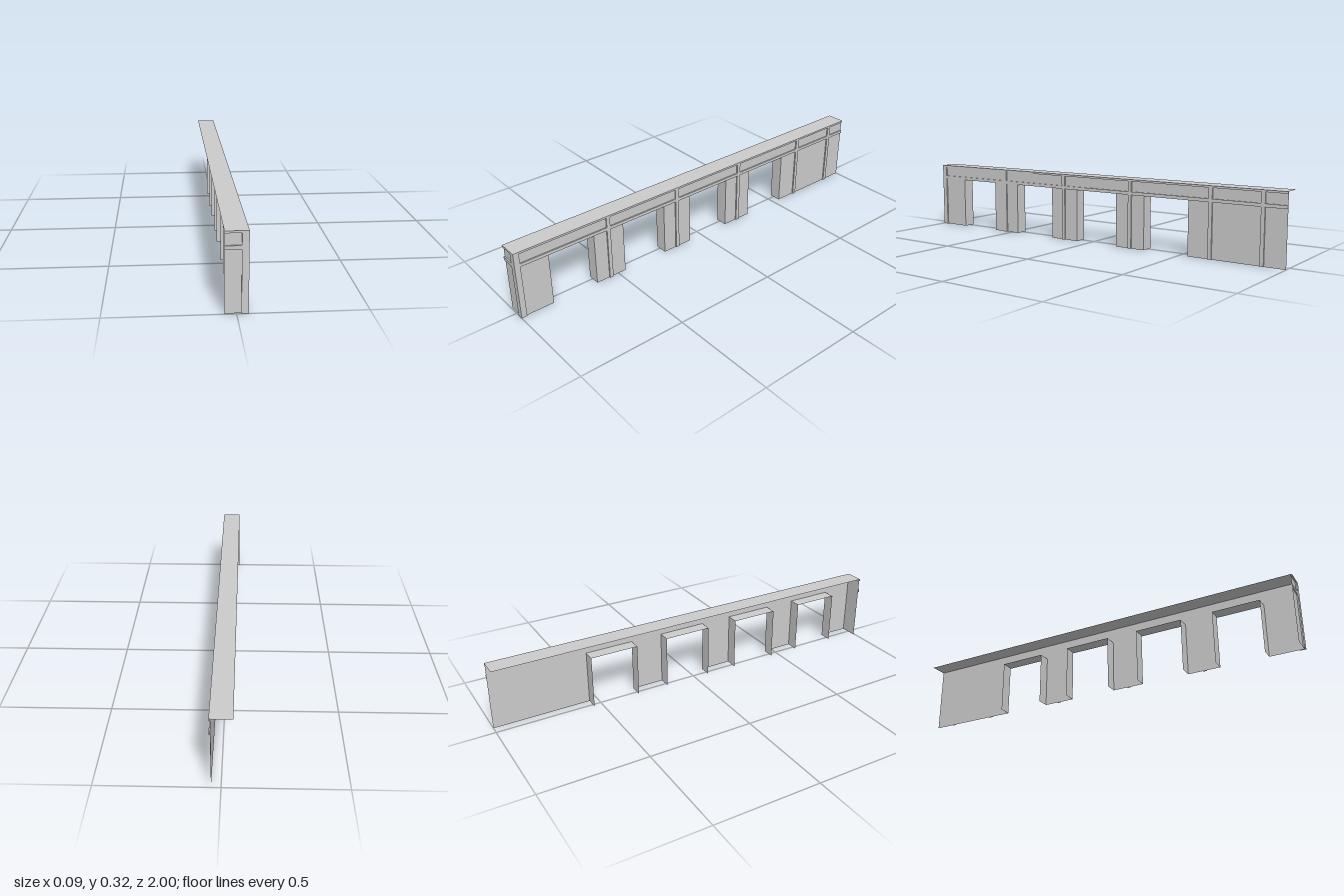
import * as THREE from 'three';

const H = 0.325, XO = 0.045, XB = -0.046; // height, outer face, open back edge
const T = 0.006;                          // trim thickness
const XW = XO - T, ZW = 1 - T;            // wall sheet positions
const OPEN_TOP = 0.253, JAMB_BACK = -0.02;
const openings = [[-0.54, -0.31], [-0.155, 0.075], [0.23, 0.46], [0.615, 0.84]];

export function createModel() {
  const group = new THREE.Group();
  const mat = new THREE.MeshStandardMaterial({ color: 0xcccccc, side: THREE.DoubleSide, flatShading: true });
  const add = (name, geo) => {
    const mesh = new THREE.Mesh(geo, mat);
    mesh.name = name;
    group.add(mesh);
    return mesh;
  };
  // box given by its limits
  const box = (name, x0, x1, y0, y1, z0, z1) =>
    add(name, new THREE.BoxGeometry(x1 - x0, y1 - y0, z1 - z0))
      .position.set((x0 + x1) / 2, (y0 + y1) / 2, (z0 + z1) / 2);

  // long wall sheet, notched by the openings
  const s = new THREE.Shape();
  s.moveTo(-1, H);
  s.lineTo(-1, 0);
  for (const [a, b] of openings) {
    s.lineTo(a, 0);
    s.lineTo(a, OPEN_TOP);
    s.lineTo(b, OPEN_TOP);
    s.lineTo(b, 0);
  }
  s.lineTo(ZW, 0);
  s.lineTo(ZW, H);
  add('sideWall', new THREE.ShapeGeometry(s).rotateY(-Math.PI / 2).translate(XW, 0, 0));

  // end wall sheet at the front
  add('endWall', new THREE.PlaneGeometry(XW - XB, H).translate((XW + XB) / 2, H / 2, ZW));

  // thin flat roof
  add('roof', new THREE.PlaneGeometry(XO - XB, 2).rotateX(-Math.PI / 2).translate((XO + XB) / 2, H, 0));

  // jambs and soffit lining each opening
  const d = XW - JAMB_BACK, xm = (XW + JAMB_BACK) / 2;
  for (const [a, b] of openings) {
    for (const z of [a, b])
      add('jamb', new THREE.PlaneGeometry(d, OPEN_TOP).translate(xm, OPEN_TOP / 2, z));
    add('soffit', new THREE.PlaneGeometry(d, b - a).rotateX(-Math.PI / 2).translate(xm, OPEN_TOP, (a + b) / 2));
  }

  // horizontal rails on the side and the front end
  for (const [y0, y1] of [[OPEN_TOP, 0.268], [0.316, H]]) {
    box('sideRail', XW, XO, y0, y1, -1, 1);
    box('endRail', XB, XW, y0, y1, ZW, 1);
  }

  // corner post wrapping both faces
  box('cornerPost', XW, XO, 0, H, 0.974, 1);
  box('cornerPost', 0.018, XW, 0, H, ZW, 1);

  // vertical strips dividing the panels
  for (const z of [0.54, 0.155, -0.234, -0.65, -0.893])
    box('strip', XW, XO, 0, H, z - 0.009, z + 0.009);

  return group;
}
